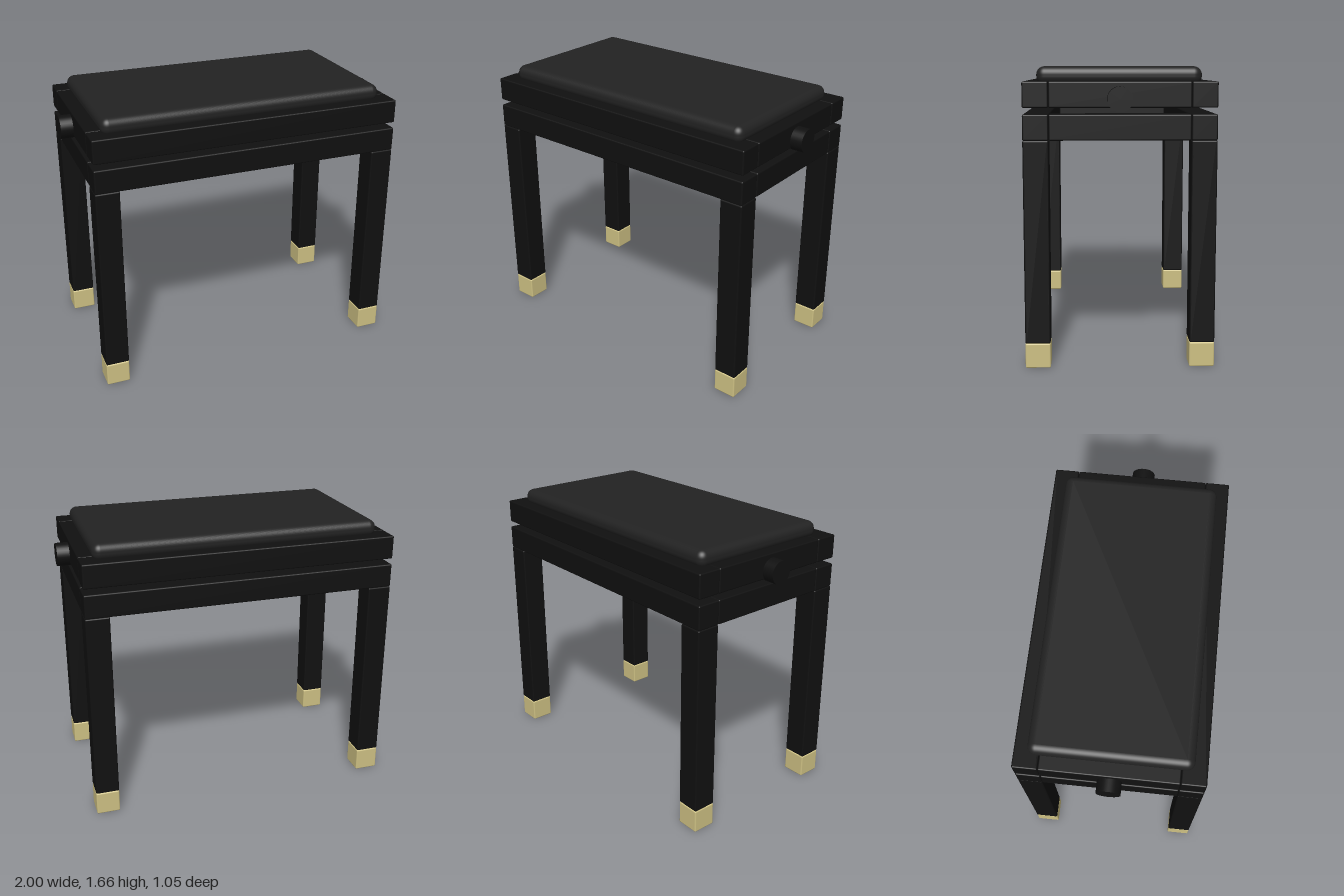
import * as THREE from 'three';
import { RoundedBoxGeometry } from 'three/addons/geometries/RoundedBoxGeometry.js';

const wood = new THREE.MeshStandardMaterial({ color: 0x101010 });
const leather = new THREE.MeshStandardMaterial({ color: 0x222222 });
const brass = new THREE.MeshStandardMaterial({ color: 0xcdc083 });

const T = 0.14; // thickness of legs and rails
const X = 0.927, Z = 0.525; // half extents of the frames

function block(name, material, [w, h, d], [x, y, z], radius = 0.008, segments = 2) {
  const mesh = new THREE.Mesh(new RoundedBoxGeometry(w, h, d, segments, radius), material);
  mesh.name = name;
  mesh.position.set(x, y, z);
  return mesh;
}

// Open rectangular frame: long rails run full width, short rails fit between them
function frame(name, bottom) {
  const group = new THREE.Group();
  group.name = name;
  const y = bottom + T / 2;
  for (const s of [-1, 1]) {
    group.add(block('longRail', wood, [2 * X, T, T], [0, y, s * (Z - T / 2)]));
    group.add(block('shortRail', wood, [T, T, 2 * (Z - T) - 0.002], [s * (X - T / 2), y, 0]));
  }
  return group;
}

export function createModel() {
  const bench = new THREE.Group();
  bench.name = 'adjustableBench';

  // Legs with brass feet
  for (const sx of [-1, 1]) for (const sz of [-1, 1]) {
    const x = sx * (X - T / 2), z = sz * (Z - T / 2);
    bench.add(block('leg', wood, [T, 1.125, T], [x, 0.7025, z]));
    bench.add(block('foot', brass, [T, T, T], [x, T / 2, z]));
  }

  // Fixed lower frame and raised upper frame
  bench.add(frame('lowerFrame', 1.265), frame('upperFrame', 1.44));

  // Padded seat
  bench.add(block('cushion', leather, [1.704, 0.1, 0.9], [0, 1.61, 0.002], 0.045, 6));

  // Height adjustment knobs on both ends
  for (const s of [-1, 1]) {
    const knob = new THREE.Mesh(new THREE.CylinderGeometry(0.068, 0.068, 0.08, 32), wood);
    knob.name = 'knob';
    knob.rotation.z = Math.PI / 2;
    knob.position.set(s * 0.96, 1.487, 0.003);
    bench.add(knob);
  }
  return bench;
}
